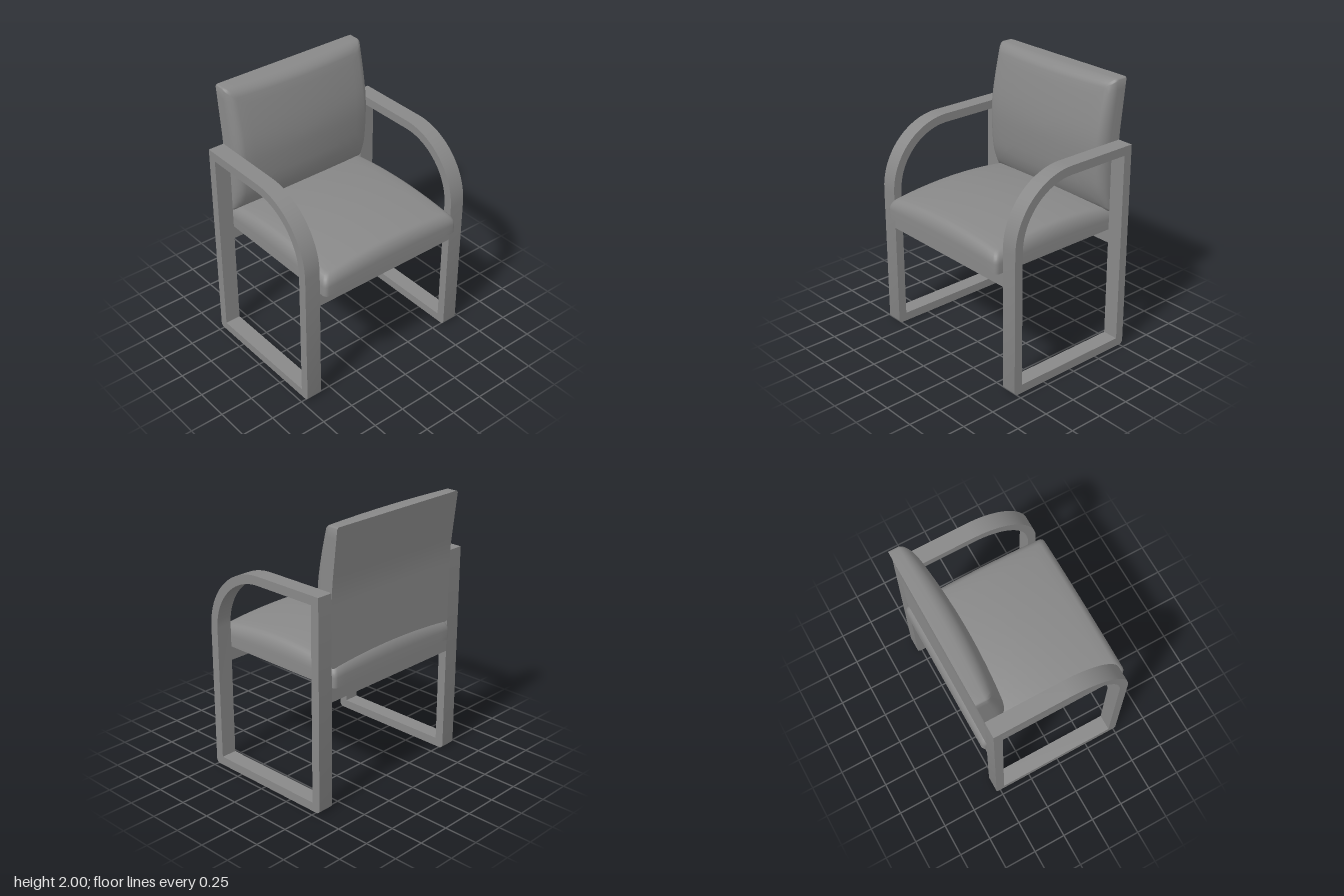
import * as THREE from 'three';
import { toCreasedNormals } from 'three/addons/utils/BufferGeometryUtils.js';

const material = new THREE.MeshStandardMaterial({ color: 0x888888 });

function addMesh(group, geometry, name, x = 0, y = 0, z = 0) {
  const mesh = new THREE.Mesh(geometry, material);
  mesh.name = name;
  mesh.position.set(x, y, z);
  group.add(mesh);
}

// Rounded rectangle outline, counter-clockwise, with subdivided straight sides
function outline(hx, hu, r, sideSteps = 16, cornerSteps = 4) {
  const arcs = [[1, 1], [-1, 1], [-1, -1], [1, -1]].map(([sx, su], k) =>
    Array.from({ length: cornerSteps + 1 }, (_, i) => {
      const a = (k + i / cornerSteps) * Math.PI / 2;
      return new THREE.Vector2(sx * (hx - r) + r * Math.cos(a), su * (hu - r) + r * Math.sin(a));
    }));
  return arcs.flatMap((arc, k) => {
    const from = arc[cornerSteps], to = arcs[(k + 1) % 4][0];
    const side = Array.from({ length: sideSteps - 1 }, (_, i) => from.clone().lerp(to, (i + 1) / sideSteps));
    return [...arc, ...side];
  });
}

// Upholstered pad: flat base, upright wall, rounded rim and crowned face.
// place(x, u, h) maps the pad's width, length and height into the chair.
function padGeometry({ hx, hu, corner, wall, rim, rimWidth, crownX, crownU, place }) {
  const pts = outline(hx, hu, corner);
  const rings = [];
  for (let i = 0; i <= 10; i++) rings.push({ s: i / 10, inset: 0, h: 0, k: 0 });
  for (let i = 0; i <= 6; i++) {
    const a = i / 6 * Math.PI / 2;
    rings.push({ s: 1, inset: rimWidth * (1 - Math.cos(a)), h: wall + rim * Math.sin(a), k: 0.3 + 0.7 * Math.sin(a) });
  }
  for (const s of [0.86, 0.7, 0.5, 0.3, 0.12, 0]) rings.push({ s, inset: rimWidth, h: wall + rim, k: 1 });

  const positions = [], index = [], n = pts.length;
  for (const { s, inset, h, k } of rings) {
    for (const p of pts) {
      const x = p.x * s * (1 - inset / hx), u = p.y * s * (1 - inset / hu);
      const crown = crownX * (1 - (x / hx) ** 2) + crownU * (1 - (u / hu) ** 2);
      positions.push(...place(x, u, h + k * crown));
    }
  }
  // The first and last rings are single points, so they need one triangle per step
  for (let i = 0; i < rings.length - 1; i++) {
    for (let j = 0; j < n; j++) {
      const a = i * n + j, b = i * n + (j + 1) % n;
      if (i > 0) index.push(a, b, b + n);
      if (i < rings.length - 2) index.push(a, b + n, a + n);
    }
  }
  const geometry = new THREE.BufferGeometry();
  geometry.setAttribute('position', new THREE.Float32BufferAttribute(positions, 3));
  geometry.setIndex(index);
  return toCreasedNormals(geometry, 0.7);
}

// Closed loop of leg, arm and floor runner, drawn in (z, y)
function sideFrameGeometry() {
  const shape = new THREE.Shape();
  shape.moveTo(-0.503, 0);
  shape.lineTo(0.49, 0);
  shape.absarc(0.49, 0.03, 0.03, -Math.PI / 2, 0);
  shape.lineTo(0.52, 1.07);
  shape.absarc(0.03, 1.07, 0.49, 0, Math.PI / 2);
  shape.lineTo(-0.533, 1.56);
  shape.lineTo(-0.533, 0.03);
  shape.absarc(-0.503, 0.03, 0.03, Math.PI, Math.PI * 1.5);
  const hole = new THREE.Path();
  hole.moveTo(-0.467, 0.065);
  hole.lineTo(-0.467, 1.495);
  hole.lineTo(0.03, 1.495);
  hole.absarc(0.03, 1.07, 0.425, Math.PI / 2, 0, true);
  hole.lineTo(0.455, 0.065);
  hole.closePath();
  shape.holes.push(hole);
  const geometry = new THREE.ExtrudeGeometry(shape, { depth: 0.12, bevelEnabled: false, curveSegments: 10 });
  geometry.rotateY(-Math.PI / 2).translate(0.06, 0, 0);
  return toCreasedNormals(geometry, 0.5);
}

// Backward lean of the backrest: upright, a soft bend, then straight
function lean(y) {
  const t = THREE.MathUtils.clamp((y - 1.46) / 0.2, 0, 1);
  return 0.114 * (0.1 * t * t + Math.max(0, y - 1.66));
}

export function createModel() {
  const chair = new THREE.Group();
  chair.name = 'armchair';

  // Side frames
  const frame = sideFrameGeometry();
  addMesh(chair, frame, 'leftSideFrame', 0.65);
  addMesh(chair, frame, 'rightSideFrame', -0.65);

  // Rails under the seat
  const rail = new THREE.BoxGeometry(1.18, 0.105, 0.065);
  addMesh(chair, rail, 'frontRail', 0, 0.848, 0.4875);
  addMesh(chair, rail, 'backRail', 0, 0.848, -0.5005);

  // Seat cushion, crowned both ways
  addMesh(chair, padGeometry({
    hx: 0.59, hu: 0.57, corner: 0.03, wall: 0.07, rim: 0.065, rimWidth: 0.06, crownX: 0.04, crownU: 0.05,
    place: (x, u, h) => [x, 0.9 + h, 0.01 - u],
  }), 'seatCushion');

  // Backrest: flush with the rear legs, leaning back above the arms, thinner at its foot
  addMesh(chair, padGeometry({
    hx: 0.59, hu: 0.485, corner: 0.018, wall: 0.07, rim: 0.05, rimWidth: 0.065, crownX: 0.04, crownU: 0.045,
    place: (x, u, h) => {
      const y = 1.515 + u;
      const thin = 1 - 0.35 * Math.max(0, (1.25 - y) / 0.22) ** 2;
      return [x, y, -0.533 - lean(y) + h * thin];
    },
  }), 'backrest');

  return chair;
}
